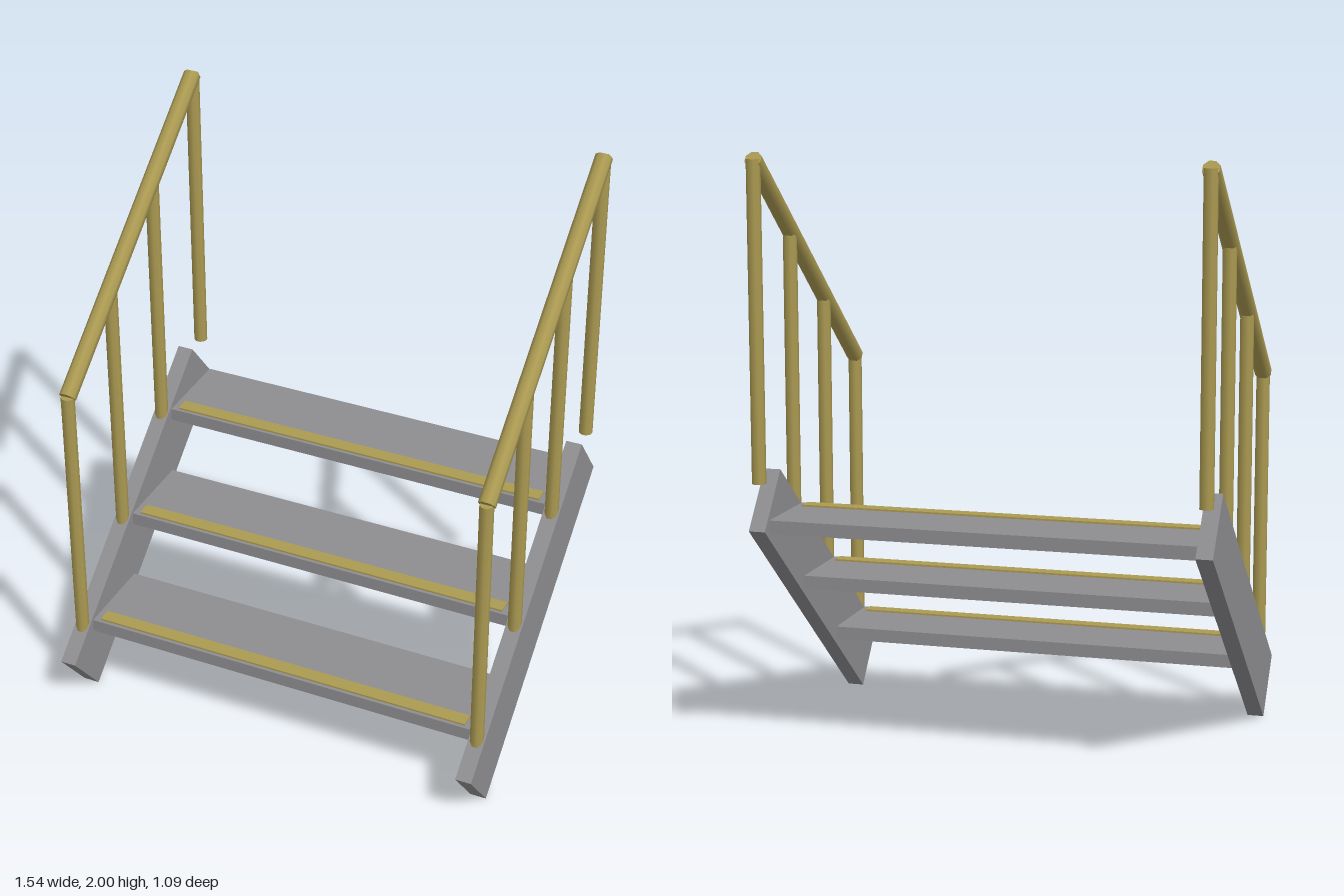
import * as THREE from 'three';

const SIDE_X = 0.7425; // centre line of stringers and railings

function mat(name, color) {
  const m = new THREE.MeshStandardMaterial({ color });
  m.name = name;
  return m;
}

function add(parent, name, geometry, material, x, y, z) {
  const mesh = new THREE.Mesh(geometry, material);
  mesh.name = name;
  mesh.position.set(x, y, z);
  parent.add(mesh);
  return mesh;
}

// Eight-sided tube with its flats facing the axes
function tube(radius, length) {
  return new THREE.CylinderGeometry(radius, radius, length, 8).rotateY(Math.PI / 8);
}

export function createModel() {
  const grey = mat('steel grey', 0x8e8e91);
  const gold = mat('safety yellow', 0xab9a52);
  const model = new THREE.Group();
  model.name = 'stairs';

  // Treads with a painted nosing strip near the front edge
  for (let i = 0; i < 3; i++) {
    const top = 0.292 + i * 0.2565;
    const z = 0.261 - i * 0.3125;
    add(model, 'tread', new THREE.BoxGeometry(1.42, 0.045, 0.302), grey, 0, top - 0.0225, z);
    add(model, 'nosingStrip', new THREE.BoxGeometry(1.372, 0.008, 0.05), gold, 0, top + 0.002, z + 0.114);
  }

  for (const side of [-1, 1]) {
    const x = side * SIDE_X;

    // Sloping side beam
    const stringer = add(model, 'stringer', new THREE.BoxGeometry(0.056, 0.235, 1.215), grey, x, 0.477, 0);
    stringer.rotation.x = Math.atan2(0.77, 0.94);

    // Four upright posts, the last one standing free behind the beam
    const railing = new THREE.Group();
    railing.name = side > 0 ? 'leftRailing' : 'rightRailing';
    model.add(railing);
    for (let i = 0; i < 4; i++) {
      const top = 1.217 + i * 0.2545;
      add(railing, 'post', tube(0.0235, 1.055), gold, x, top - 0.5275, 0.43 - i * 0.315);
    }

    // Handrail over the posts
    const dy = 0.764, dz = -0.945;
    const rail = add(railing, 'handrail', tube(0.0295, Math.hypot(dy, dz)), gold, x, 1.598, -0.0425);
    rail.rotation.x = Math.atan2(dz, dy);
  }
  return model;
}
